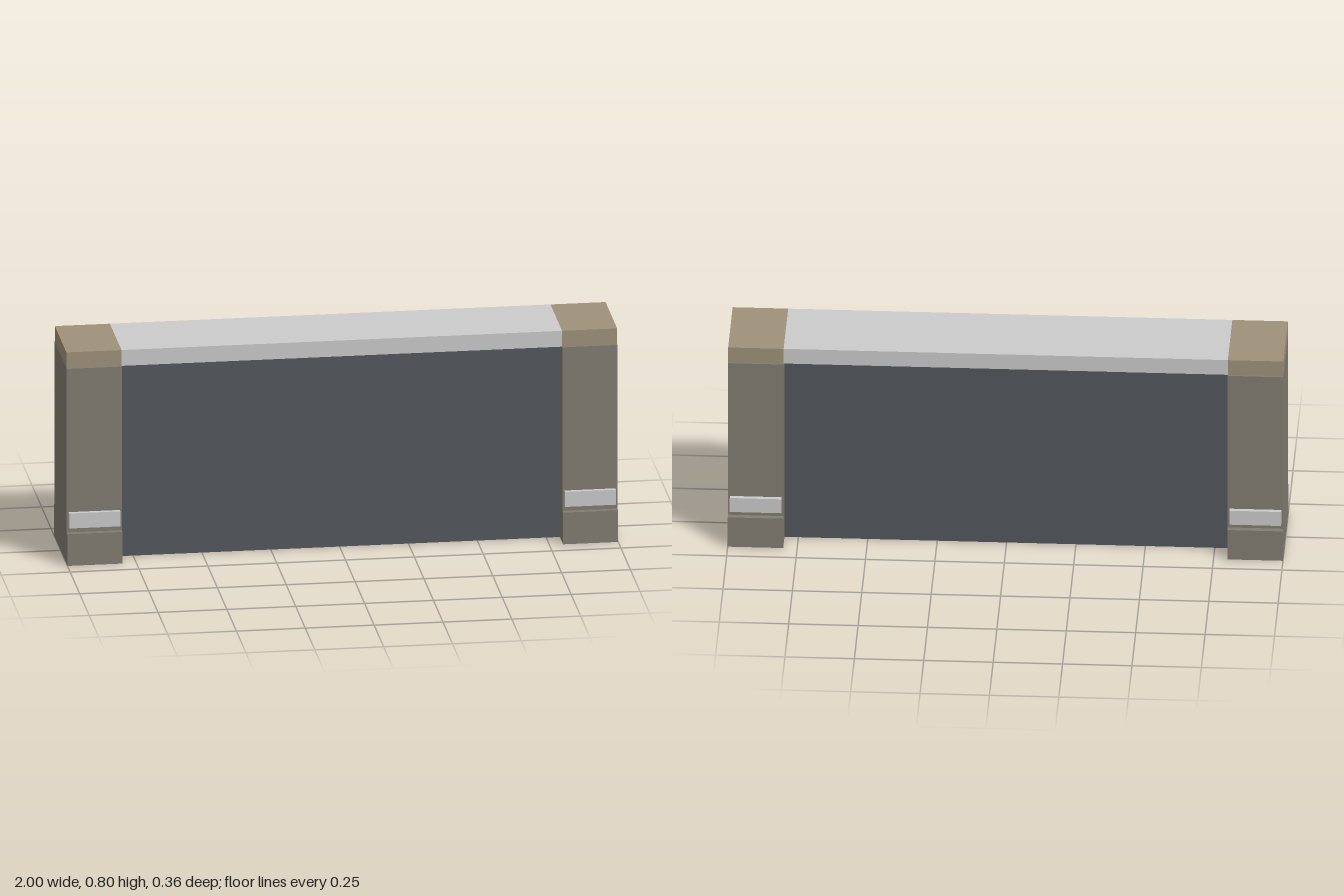
import * as THREE from 'three';

export function createModel() {
  const model = new THREE.Group();
  const grey = new THREE.MeshStandardMaterial({ color: 0xcccccc });
  const stone = new THREE.MeshStandardMaterial({ color: 0x827d72 });
  const tan = new THREE.MeshStandardMaterial({ color: 0x9f927a });
  const slate = new THREE.MeshStandardMaterial({ color: 0x53585d });

  // Box of given width and depth spanning y0..y1, centred at (x, z)
  const box = (name, material, parent, w, d, y0, y1, x = 0, z = 0) => {
    const mesh = new THREE.Mesh(new THREE.BoxGeometry(w, y1 - y0, d), material);
    mesh.name = name;
    mesh.position.set(x, (y0 + y1) / 2, z);
    parent.add(mesh);
  };

  // Recessed wall panel and the rail on top
  box('panel', slate, model, 1.6, 0.19, 0, 0.74);
  box('topRail', grey, model, 1.6, 0.304, 0.74, 0.8);

  // End posts: plinth, shaft, cap and a trim strip on both faces
  for (const side of [1, -1]) {
    const post = new THREE.Group();
    post.name = side > 0 ? 'leftPost' : 'rightPost';
    post.position.x = side * 0.9;
    box('plinth', stone, post, 0.2, 0.36, 0, 0.12);
    box('shaft', stone, post, 0.2, 0.32, 0.12, 0.74);
    box('cap', tan, post, 0.2, 0.304, 0.74, 0.8);
    for (const face of [1, -1]) {
      box(face > 0 ? 'frontTrim' : 'backTrim', grey, post, 0.186, 0.016, 0.14, 0.197, 0, face * 0.168);
    }
    model.add(post);
  }
  return model;
}
